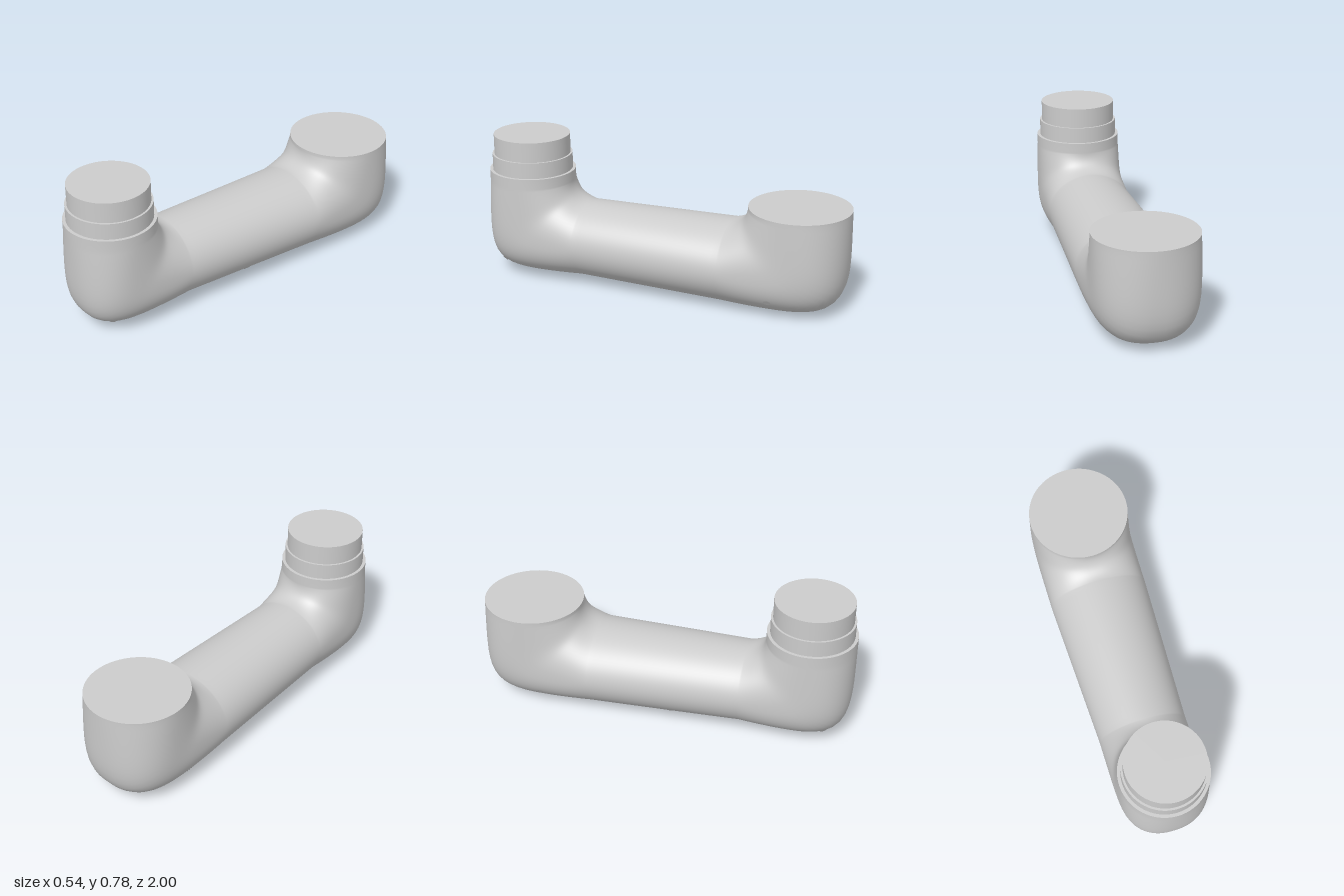
import * as THREE from 'three';

const SIDES = 72;
const PIVOT_Y = 0.53, FILLET = 0.1;
const lerp = THREE.MathUtils.lerp;

// Cross-section: inner and outer point in the z/y plane, half width, roundness exponent, fold strength
const section = (pz, py, qz, qy, w, m = 2, fold = 0) => ({ pz, py, qz, qy, w, m, fold });

// Elbow from the upright cup (t = 0) to the horizontal tube (t = 1); dir is the z side it faces
function elbow(dir, pivotZ, reach, drop, cupW, tubeW, topY, steps = 28) {
  const list = [section(pivotZ + dir * FILLET, topY, pivotZ + dir * reach, topY, cupW)];
  for (let i = 0; i <= steps; i++) {
    const t = i / steps, a = t * Math.PI / 2, c = Math.cos(a), s = Math.sin(a);
    const r = ((c / reach) ** 6 + (s / drop) ** 6) ** (-1 / 6);
    list.push(section(
      pivotZ + dir * c * FILLET, PIVOT_Y - s * FILLET,
      pivotZ + dir * c * r, PIVOT_Y - s * r,
      lerp(cupW, tubeW, Math.min(1, t * 1.8)), 2 + 0.4 * Math.sin(2 * a), Math.max(0, t - 0.6) / 0.4));
  }
  return list;
}

// Skin a list of cross-sections with one smooth surface
function loft(sections) {
  const pos = [], idx = [];
  const pw = (v, e) => Math.sign(v) * Math.abs(v) ** e;
  sections.forEach((s, i) => {
    for (let j = 0; j < SIDES; j++) {
      const f = j / SIDES * Math.PI * 2;
      const c = pw(Math.cos(f), 2 / s.m);
      const x = s.w * pw(Math.sin(f), 2 / s.m);
      // shallow lengthwise folds on the underside
      const under = s.fold * THREE.MathUtils.smoothstep(c, 0.55, 0.85);
      const z0 = (s.pz + s.qz) / 2;
      const k = 1 - under * 0.022 * (1 + Math.sin(x * 75 + z0 * 2.5)) * (0.6 + 0.4 * Math.sin(z0 * 3 + x * 9));
      const h = c * k / 2;
      pos.push(x, (s.py + s.qy) / 2 + (s.qy - s.py) * h, z0 + (s.qz - s.pz) * h);
      if (i < sections.length - 1) {
        const a = i * SIDES + j, b = i * SIDES + (j + 1) % SIDES;
        idx.push(a, b, a + SIDES, b, b + SIDES, a + SIDES);
      }
    }
  });
  const g = new THREE.BufferGeometry();
  g.setAttribute('position', new THREE.Float32BufferAttribute(pos, 3));
  g.setIndex(idx);
  g.computeVertexNormals();
  return g;
}

export function createModel() {
  const group = new THREE.Group();
  const mat = new THREE.MeshStandardMaterial({ color: 0xcccccc });
  const add = (name, geo, x = 0, y = 0, z = 0) => {
    const m = new THREE.Mesh(geo, mat);
    m.name = name;
    m.position.set(x, y, z);
    group.add(m);
    return m;
  };

  // U-shaped link body: rear cup, tapering tube, front cup
  const rear = elbow(-1, -0.37, 0.63, 0.53, 0.265, 0.268, 0.545);
  const front = elbow(1, 0.435, 0.565, 0.51, 0.2325, 0.237, 0.585).reverse();
  const tube = [];
  for (let i = 1; i < 24; i++) {
    const t = i / 24, z = lerp(-0.37, 0.435, t);
    tube.push(section(z, 0.43, z, lerp(0, 0.02, t), lerp(0.268, 0.237, t), 2, 1));
  }
  const body = add('linkBody', loft([...rear, ...tube, ...front]));

  // Flat tops of the two cups
  const disc = (r) => new THREE.CircleGeometry(r, SIDES).rotateX(-Math.PI / 2);
  add('rearCupTop', disc(0.265), 0, 0.545, -0.735);
  add('frontCupTop', disc(0.2325), 0, 0.585, 0.7675);

  // Stepped spigot on the front cup
  add('lowerCollar', new THREE.CylinderGeometry(0.216, 0.216, 0.086, SIDES), 0, 0.628, 0.7675);
  add('upperCollar', new THREE.CylinderGeometry(0.205, 0.205, 0.108, SIDES), 0, 0.724, 0.7675);

  // Small screw holes along both lower flanks, seated on the body surface
  const ray = new THREE.Raycaster();
  for (const side of [-1, 1]) {
    for (const [y, z] of [[0.09, 0.88], [0.095, 0.07], [0.1, -0.64]]) {
      ray.set(new THREE.Vector3(side, y, z), new THREE.Vector3(-side, 0, 0));
      const hit = ray.intersectObject(body)[0];
      if (!hit) continue;
      const n = hit.face.normal;
      const hole = add('screwHole', new THREE.CircleGeometry(0.018, 20));
      hole.position.copy(hit.point).addScaledVector(n, 0.002);
      hole.quaternion.setFromUnitVectors(new THREE.Vector3(0, 0, 1), n);
    }
  }
  return group;
}
